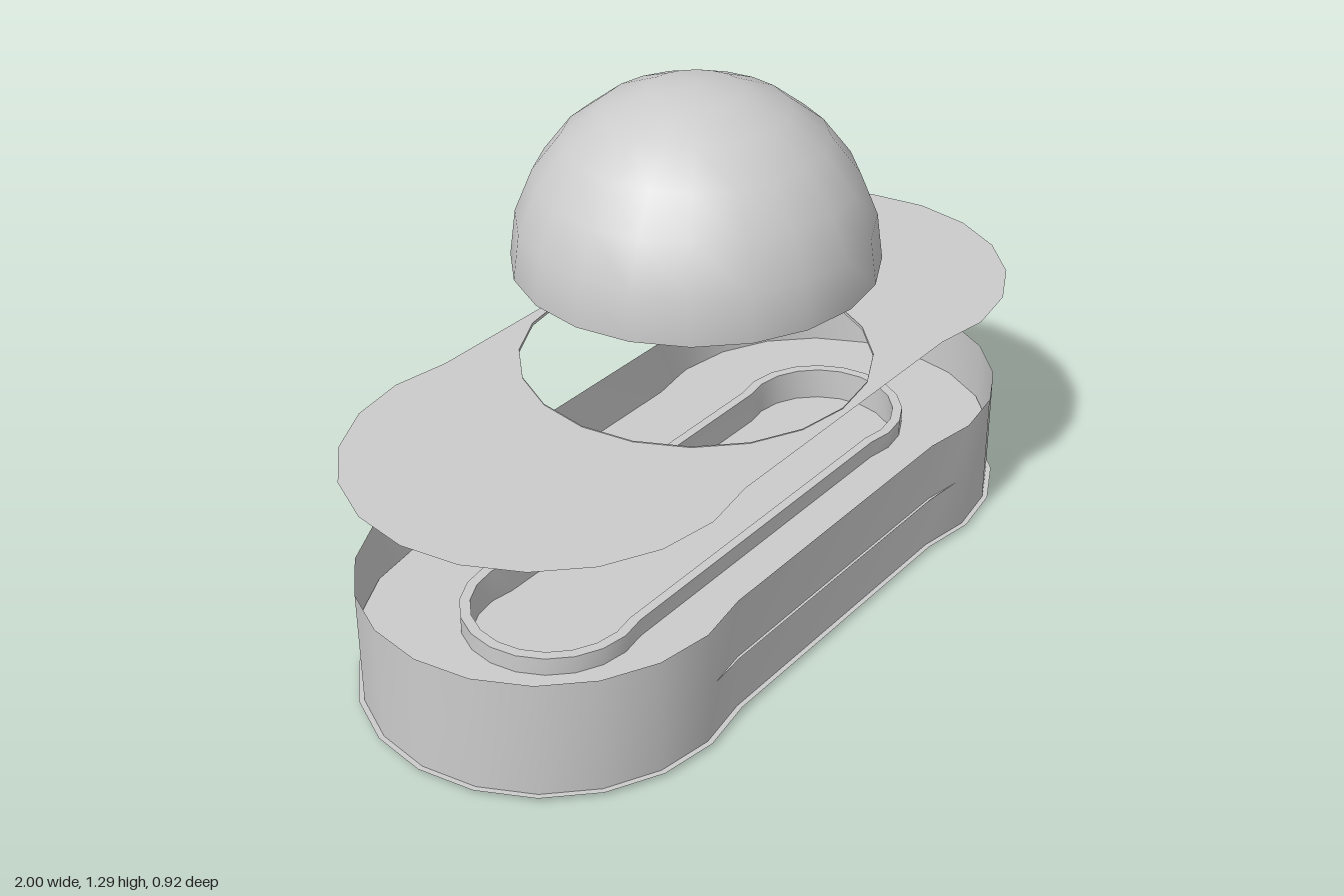
import * as THREE from 'three';

const mat = new THREE.MeshStandardMaterial({ color: 0xcccccc, side: THREE.DoubleSide });
const LOBE = 0.54; // distance of the end circles from the middle

// Outline of two 20-sided lobes joined by a straight waist
function outline(r, c = LOBE, waist = r * Math.cos(Math.PI / 10)) {
  const half = [];
  for (let i = -5; i <= 5; i++) {
    const a = i * Math.PI / 10;
    half.push([c + r * Math.cos(a), r * Math.sin(a)]);
  }
  const x = c - r * Math.sin(Math.PI / 10);
  half.unshift([x, -waist]);
  half.push([x, waist]);
  return [...half, ...half.map(([px, pz]) => [-px, -pz])].map(p => new THREE.Vector2(...p));
}

// Horizontal sheet at height y, with optional hole
function sheet(points, y, hole) {
  const shape = new THREE.Shape(points);
  if (hole) shape.holes.push(new THREE.Path(hole));
  return new THREE.ShapeGeometry(shape).rotateX(-Math.PI / 2).translate(0, y, 0);
}

// Thin upright wall that follows an outline
function wall(points, y0, y1) {
  const pos = [], idx = [], n = points.length;
  points.forEach((p, i) => {
    pos.push(p.x, y0, -p.y, p.x, y1, -p.y);
    const a = 2 * i, b = 2 * ((i + 1) % n);
    idx.push(a, b, b + 1, a, b + 1, a + 1);
  });
  const g = new THREE.BufferGeometry();
  g.setAttribute('position', new THREE.Float32BufferAttribute(pos, 3));
  g.setIndex(idx);
  g.computeVertexNormals();
  return g;
}

function circle(r) {
  return Array.from({ length: 20 }, (_, i) => {
    const a = i * Math.PI / 10;
    return new THREE.Vector2(r * Math.cos(a), r * Math.sin(a));
  });
}

export function createModel() {
  const model = new THREE.Group();
  const add = (name, geometry) => {
    const mesh = new THREE.Mesh(geometry, mat);
    mesh.name = name;
    model.add(mesh);
  };

  // Tray: base sheet with a thin foot, and the outer wall
  const foot = outline(0.4, 0.53, 0.415);
  add('footBottom', sheet(foot, 0));
  add('footEdge', wall(foot, 0, 0.01));
  add('trayBase', sheet(outline(0.46), 0.01));
  add('trayWall', wall(outline(0.447), 0.01, 0.305));

  // Shelf inside the tray, its straight sides just reaching through the waist
  const rimOuter = outline(0.215), rimInner = outline(0.19);
  add('shelf', sheet(outline(0.445, LOBE, 0.432), 0.15, rimInner));

  // Raised rim around a shallow pocket
  add('pocketRimOuter', wall(rimOuter, 0.15, 0.195));
  add('pocketRimTop', sheet(rimOuter, 0.195, rimInner));
  add('pocketWall', wall(rimInner, 0.11, 0.195));
  add('pocketFloor', sheet(rimInner, 0.11));

  // Floating cover plate with a lipped round opening
  add('coverPlate', sheet(outline(0.46), 0.605, circle(0.42)));
  add('openingLip', wall(circle(0.42), 0.6, 0.608));

  // Hollow dome
  for (const [name, r] of [['domeOuter', 0.43], ['domeInner', 0.415]]) {
    add(name, new THREE.SphereGeometry(r, 20, 6, 0, Math.PI * 2, 0, Math.PI / 2).translate(0, 0.865, 0));
  }
  add('domeRim', sheet(circle(0.43), 0.865, circle(0.415)));

  return model;
}
